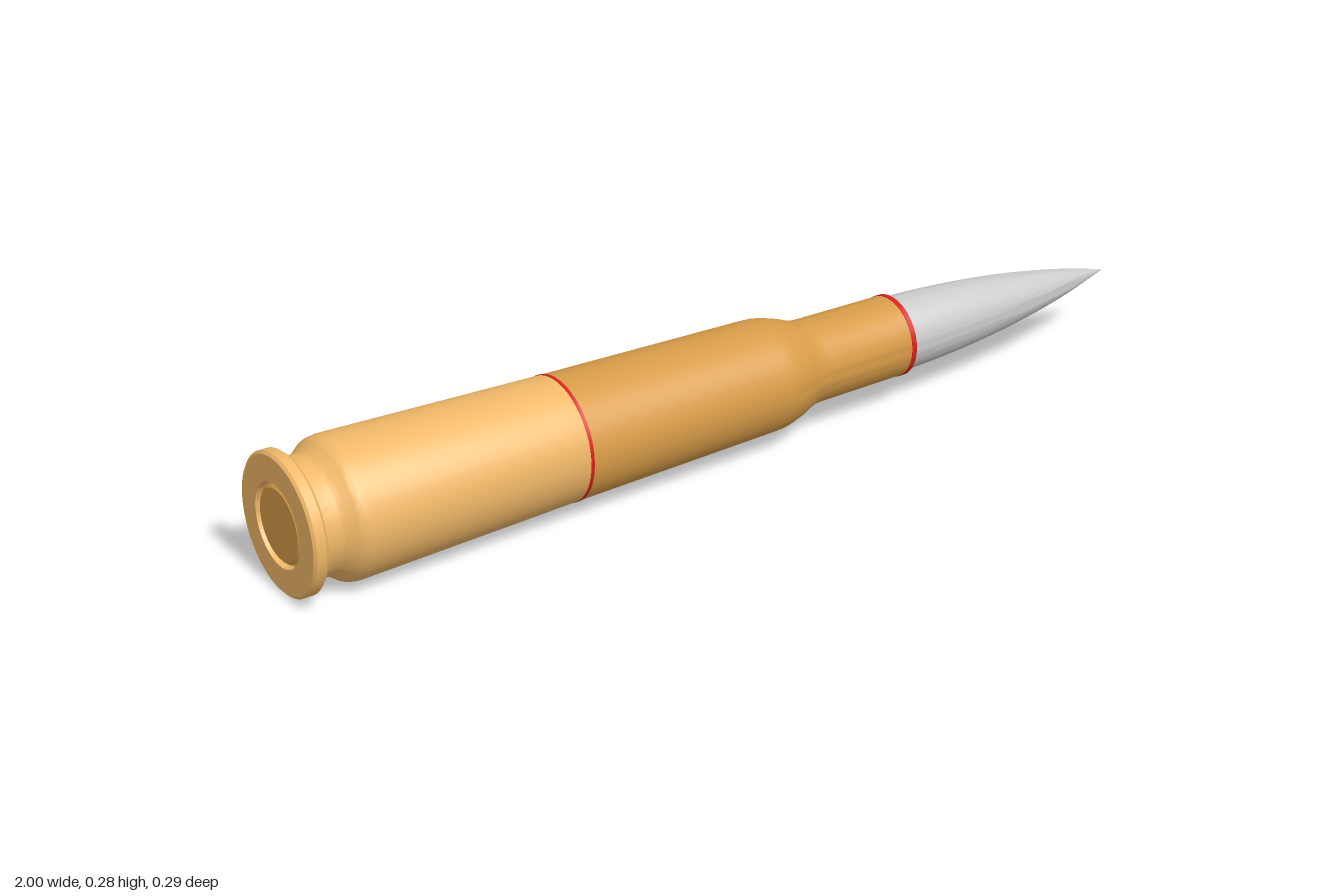
import * as THREE from 'three';
import { toCreasedNormals } from 'three/addons/utils/BufferGeometryUtils.js';

const CY = 0.1435, CZ = 0.005; // long axis of the cartridge

const mat = (color) => new THREE.MeshStandardMaterial({ color });
const brassLight = mat(0xf0b868), brass = mat(0xd89c48), red = mat(0xdd2018);
const steel = mat(0xcccccc), fur = mat(0x9a7656), muzzleTone = mat(0xb08c68), dark = mat(0x2a1c14);

// Turned part: profile is a list of [x, radius] along the axis
function turned(name, profile, material) {
  const points = profile.map(([x, r]) => new THREE.Vector2(r, x));
  const geometry = toCreasedNormals(new THREE.LatheGeometry(points, 72), 0.5);
  geometry.rotateZ(-Math.PI / 2);
  const mesh = new THREE.Mesh(geometry, material);
  mesh.name = name;
  mesh.position.set(0, CY, CZ);
  return mesh;
}

// Smooth profile through a few [x, radius] points
function smooth(points, n) {
  const curve = new THREE.SplineCurve(points.map(([x, r]) => new THREE.Vector2(x, r)));
  return curve.getPoints(n).map((p) => [p.x, Math.max(p.y, 0)]);
}

// Flattened pebble at (u, v), wrapped onto the back of the tapering case
function pebble(name, u, v, su, sv, height, material, lift = 0) {
  const geometry = new THREE.SphereGeometry(1, 28, 18);
  const p = geometry.attributes.position;
  for (let i = 0; i < p.count; i++) {
    const x = -0.65 - (u + p.getX(i) * su);
    const r = 0.1355 - 0.03 * (x + 0.65);
    const a = (v + p.getY(i) * sv) / 0.1355;
    const d = r + lift + p.getZ(i) * height;
    p.setXYZ(i, x, CY + d * Math.sin(a), CZ - d * Math.cos(a));
  }
  geometry.computeVertexNormals();
  const mesh = new THREE.Mesh(geometry, material);
  mesh.name = name;
  return mesh;
}

export function createModel() {
  const model = new THREE.Group();
  model.name = 'cartridge';

  // Base with primer recess, rim, extractor groove and lower wall
  model.add(turned('caseBase', [
    [-0.985, 0], [-0.985, 0.083], [-1, 0.085], [-1, 0.137], [-0.995, 0.1425], [-0.975, 0.1425],
    [-0.968, 0.136], [-0.964, 0.119], [-0.93, 0.118],
    ...smooth([[-0.925, 0.119], [-0.91, 0.129], [-0.895, 0.139], [-0.875, 0.1425]], 10),
    [-0.39, 0.1275],
  ], brassLight));
  model.add(turned('primer', [[-0.997, 0], [-0.997, 0.072], [-0.993, 0.077], [-0.98, 0.077]], brass));

  // Upper wall, shoulder and neck
  model.add(turned('caseBody', [
    [-0.39, 0.1275],
    ...smooth([[0.08, 0.1165], [0.11, 0.114], [0.15, 0.103], [0.185, 0.09], [0.215, 0.087]], 20),
    [0.418, 0.085],
  ], brass));

  // Painted bands
  model.add(turned('bodyBand', [[-0.395, 0.127], [-0.395, 0.1285], [-0.388, 0.1285], [-0.388, 0.126]], red));
  model.add(turned('neckBand', [[0.414, 0.084], [0.414, 0.0862], [0.425, 0.0862], [0.425, 0.076]], red));

  // Pointed projectile
  model.add(turned('projectile', smooth([
    [0.4, 0.0795], [0.5, 0.0765], [0.62, 0.068], [0.75, 0.0525], [0.88, 0.0295], [1, 0],
  ], 32), steel));

  // Raised bear head on the back of the case
  const bear = new THREE.Group();
  bear.name = 'bearOrnament';
  bear.add(pebble('head', 0, 0.005, 0.058, 0.052, 0.007, fur));
  bear.add(pebble('jaw', 0, -0.026, 0.046, 0.038, 0.009, fur, 0.001));
  for (const side of [-1, 1]) {
    bear.add(pebble('ear', side * 0.051, 0.05, 0.023, 0.022, 0.007, fur));
    bear.add(pebble('innerEar', side * 0.051, 0.05, 0.012, 0.011, 0.003, muzzleTone, 0.0052));
    bear.add(pebble('eye', side * 0.024, 0.018, 0.005, 0.005, 0.003, dark, 0.006));
  }
  bear.add(pebble('muzzle', 0, -0.014, 0.028, 0.025, 0.009, muzzleTone, 0.005));
  bear.add(pebble('nose', 0, -0.003, 0.01, 0.008, 0.004, dark, 0.0125));
  model.add(bear);

  return model;
}
